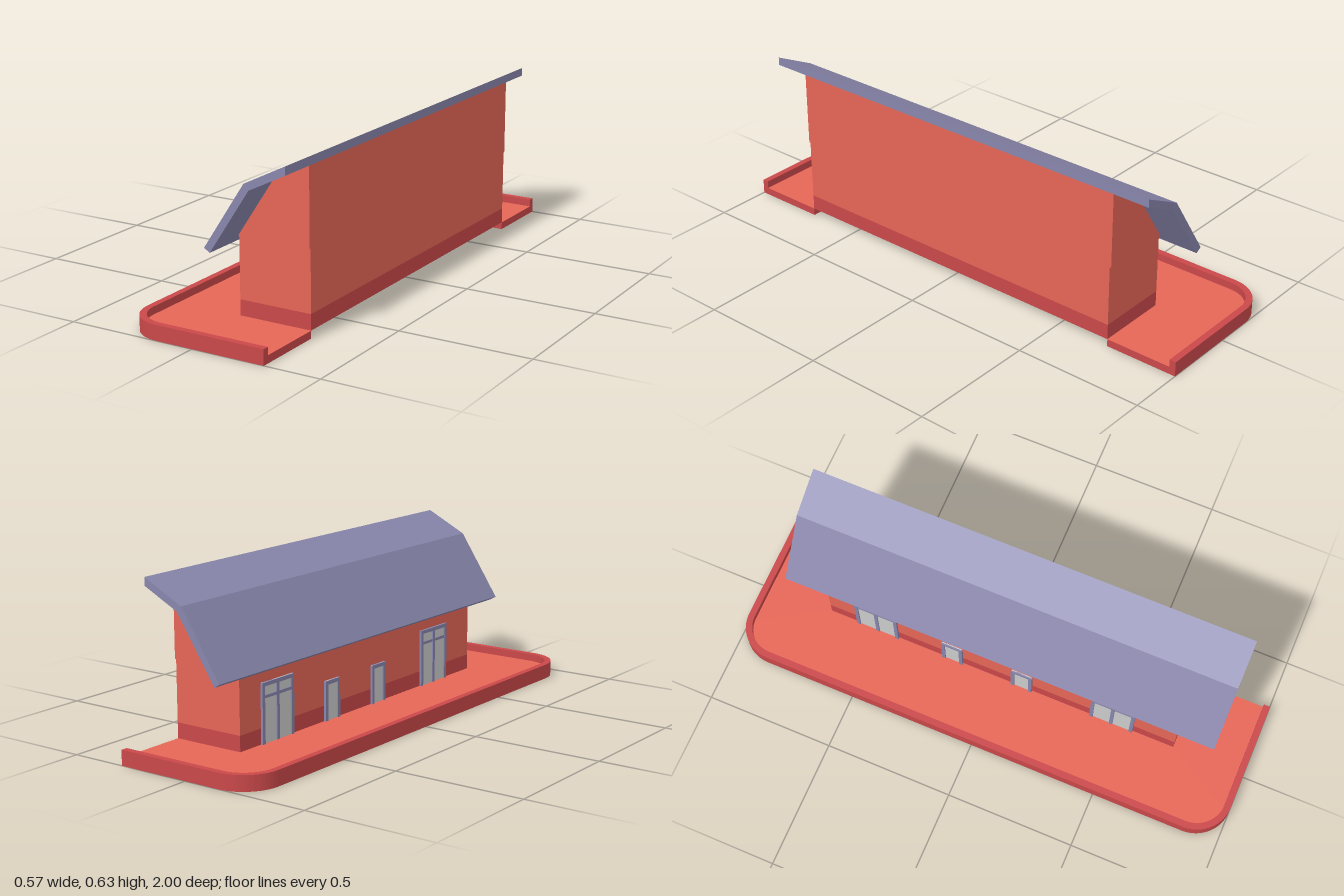
import * as THREE from 'three';

const mat = (color) => new THREE.MeshStandardMaterial({ color });
const orange = mat(0xe66656), red = mat(0xca484a), slate = mat(0x8986ac), grey = mat(0xcccccc);

const EDGE = 0.285;      // cut side of the half house
const FLOOR = 0.0285;    // top of the yard slab
const HALF = 0.715;      // half length of the house

function add(parent, name, geometry, material, x = 0, y = 0, z = 0) {
  const mesh = new THREE.Mesh(geometry, material);
  mesh.name = name;
  mesh.position.set(x, y, z);
  parent.add(mesh);
  return mesh;
}

// Box given by its limits on each axis
function block(parent, name, material, x0, x1, y0, y1, z0, z1) {
  return add(parent, name, new THREE.BoxGeometry(x1 - x0, y1 - y0, z1 - z0), material,
    (x0 + x1) / 2, (y0 + y1) / 2, (z0 + z1) / 2);
}

// Tray outline with two round corners, left open for the inner edge
function trayOutline(inset) {
  const s = new THREE.Shape(), r = 0.14, a = -EDGE + r, b = 1 - r, q = r - inset;
  s.moveTo(EDGE, 1 - inset);
  s.lineTo(a, 1 - inset);
  s.absarc(a, b, q, Math.PI / 2, Math.PI, false);
  s.lineTo(-EDGE + inset, -b);
  s.absarc(a, -b, q, Math.PI, Math.PI * 1.5, false);
  s.lineTo(EDGE, -1 + inset);
  return s;
}

// Yard floor, notched around the house
function yardShape(inset) {
  const s = trayOutline(inset);
  s.lineTo(EDGE, -HALF);
  s.lineTo(0, -HALF);
  s.lineTo(0, HALF);
  s.lineTo(EDGE, HALF);
  return s;
}

// Raised rim: outer outline followed by the inner one in reverse
function rimShape() {
  const s = new THREE.Shape();
  s.setFromPoints([...trayOutline(0).getPoints(16), ...trayOutline(0.025).getPoints(16).reverse()]);
  return s;
}

function flat(shape, height) {
  return new THREE.ExtrudeGeometry(shape, { depth: height, bevelEnabled: false, curveSegments: 16 })
    .rotateX(-Math.PI / 2);
}

// Profile in x and y, extruded along z about the middle
function prism(points, half) {
  const shape = new THREE.Shape(points.map(([x, y]) => new THREE.Vector2(x, y)));
  return new THREE.ExtrudeGeometry(shape, { depth: half * 2, bevelEnabled: false }).translate(0, 0, -half);
}

// Glazed door on the long wall
function makeDoor(name, z, width, height, leaves) {
  const g = new THREE.Group();
  g.name = name;
  g.position.set(0, FLOOR, z);
  const w = width / 2, t = 0.014, d = -0.009;
  block(g, 'panel', grey, -0.004, 0.001, 0, height, -w + 0.002, w - 0.002);
  for (const s of [-1, 1]) {
    const c = s * (w - t / 2);
    block(g, 'jamb', slate, d, 0, 0, height, c - t / 2, c + t / 2);
  }
  block(g, 'lintel', slate, d, 0, height - t, height, -w + t, w - t);
  if (leaves === 2) {
    block(g, 'mullion', slate, d + 0.001, 0, 0, height - t, -0.007, 0.007);
    block(g, 'transom', slate, d + 0.002, 0, height * 0.74, height * 0.74 + 0.011, -w + t, w - t);
  }
  return g;
}

export function createModel() {
  const model = new THREE.Group();
  model.name = 'halfHouse';

  // Yard tray
  const yard = new THREE.Group();
  yard.name = 'yard';
  model.add(yard);
  add(yard, 'slab', flat(yardShape(0), FLOOR - 0.0005), red);
  add(yard, 'rim', flat(rimShape(), 0.057 - FLOOR + 0.0005), red, 0, FLOOR - 0.0005);
  add(yard, 'paving', new THREE.ShapeGeometry(yardShape(0.024), 16).rotateX(-Math.PI / 2), orange, 0, FLOOR);

  // Walls
  const house = new THREE.Group();
  house.name = 'house';
  model.add(house);
  block(house, 'plinth', red, 0, EDGE, FLOOR, 0.087, -HALF, HALF);
  block(house, 'walls', orange, 0, EDGE, 0.087, 0.317, -HALF, HALF);
  add(house, 'gable', prism([[0, 0.317], [EDGE, 0.317], [EDGE, 0.601], [0.142, 0.53]], HALF + 0.006), orange);

  // Two-pitch roof
  add(house, 'roof', prism([[-0.017, 0.292], [0.142, 0.53], [EDGE, 0.601],
    [EDGE, 0.632], [0.123, 0.551], [-0.04, 0.306]], 0.863), slate);

  // Doors along the long wall
  const doors = [[-0.514, 0.176, 0.2215, 2], [-0.198, 0.086, 0.15, 1], [0.09, 0.086, 0.15, 1], [0.461, 0.176, 0.2215, 2]];
  for (const [z, w, h, n] of doors) house.add(makeDoor(n === 2 ? 'doubleDoor' : 'smallDoor', z, w, h, n));

  return model;
}
